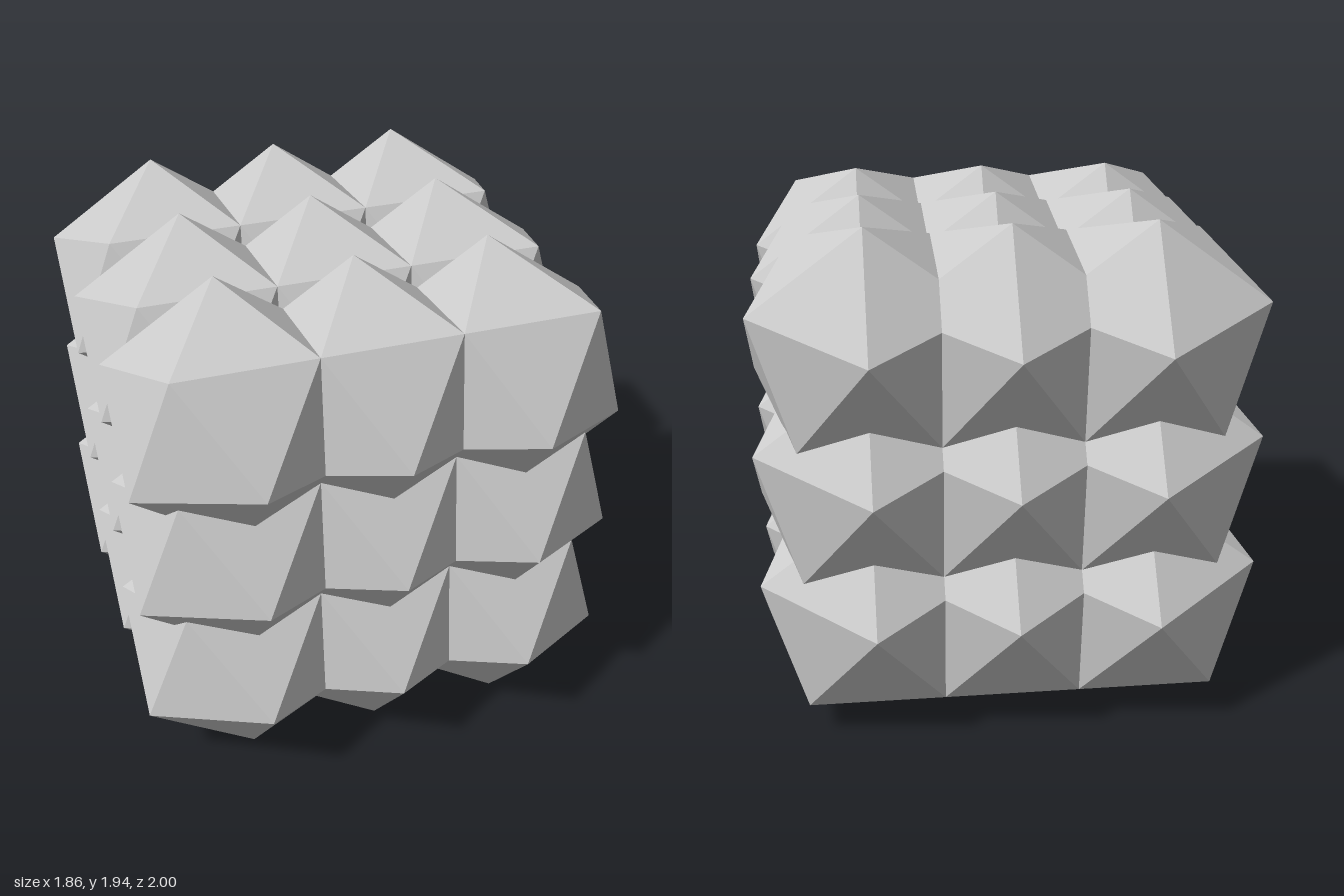
import * as THREE from 'three';

const SPACING = 0.514;   // distance between neighbouring crystals
const RADIUS = 0.4886;   // large enough that neighbours overlap
const TILT = THREE.MathUtils.degToRad(38);
const HALF_HEIGHT = 0.972;

export function createModel() {
  const group = new THREE.Group();
  group.name = 'crystalCluster';
  const material = new THREE.MeshStandardMaterial({ color: 0xcccccc, flatShading: true });

  // One icosahedron, tipped forward about the x axis
  const geometry = new THREE.IcosahedronGeometry(RADIUS, 0).rotateX(TILT);

  // 3 x 3 x 3 block of overlapping icosahedra
  for (let layer = -1; layer <= 1; layer++) {
    const layerGroup = new THREE.Group();
    layerGroup.name = ['bottomLayer', 'middleLayer', 'topLayer'][layer + 1];
    layerGroup.position.y = HALF_HEIGHT + layer * SPACING;
    for (let row = -1; row <= 1; row++) {
      for (let column = -1; column <= 1; column++) {
        const crystal = new THREE.Mesh(geometry, material);
        crystal.name = 'icosahedron';
        crystal.position.set(column * SPACING, 0, row * SPACING);
        layerGroup.add(crystal);
      }
    }
    group.add(layerGroup);
  }
  return group;
}
